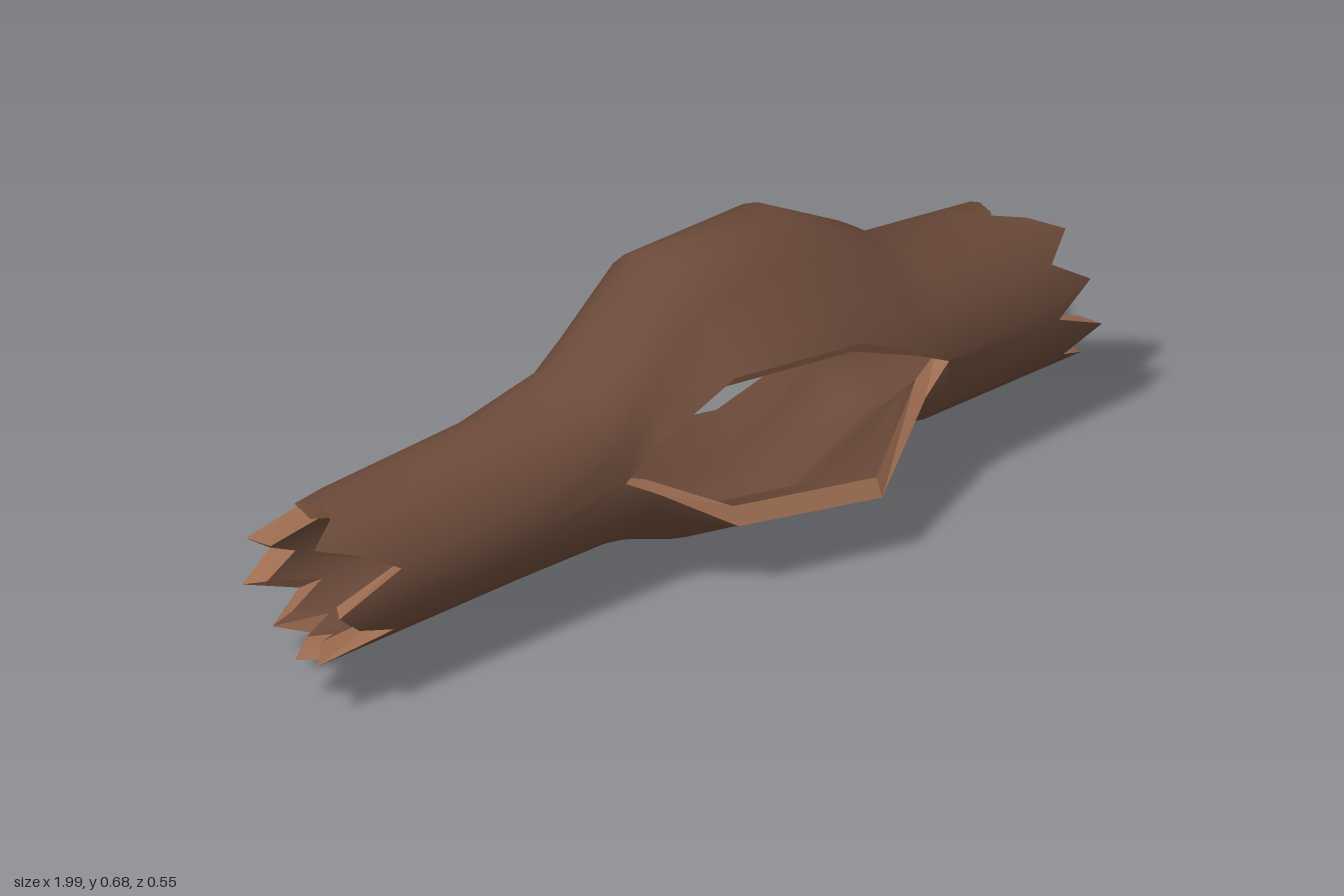
import * as THREE from 'three';
import { toCreasedNormals } from 'three/addons/utils/BufferGeometryUtils.js';

const SIDES = 20, HALF = 10, WALL = 0.042, STEP = Math.PI / HALF;

// Splintered end outlines: x for each corner, from the front, over the top, round the back
const LEFT_END = [-.99, -.82, -.9, -1, -.92, -.9, -.93, -.82, -.82, -.97, -.9, -.98, -.85, -.95, -.88, -.97, -.93, -.99, -.82, -.93];
const RIGHT_END = [.87, .96, .88, .95, .89, .82, .8, .88, .94, .99, .93, .88, .95, .9, .96, .93, .92, .99, .91, .99];

// Cross-sections along the log: centre heights of the upper and lower arcs, radii, centre z.
// Open ones also have lips: [y, z] for front upper, front lower, back upper, back lower.
const STATIONS = [
  { x: LEFT_END, up: .28, low: .28, ry: .163, rz: .155, zc: -.053 },
  { x: -.46, up: .29, low: .29, ry: .17, rz: .155, zc: -.053 },
  { x: -.24, up: .345, low: .278, ry: .158, rz: .155, zc: -.053 },
  { x: -.17, up: .405, low: .265, ry: .155, rz: .155, zc: -.05, lips: [[.385, .125], [.27, .12], [.37, -.225], [.27, -.225]] },
  { x: -.03, up: .525, low: .215, ry: .155, rz: .155, zc: -.05, lips: [[.51, .19], [.18, .2], [.45, -.277], [.175, -.245]] },
  { x: .28, up: .525, low: .16, ry: .155, rz: .155, zc: -.05, lips: [[.485, .215], [.163, .275], [.52, -.277], [.12, -.245]] },
  { x: .49, up: .405, low: .28, ry: .158, rz: .165, zc: -.045, lips: [[.37, .17], [.265, .165], [.345, -.22], [.22, -.207]] },
  { x: .56, up: .347, low: .288, ry: .165, rz: .185, zc: -.03 },
  { x: RIGHT_END, up: .287, low: .287, ry: .181, rz: .175, zc: -.045 },
];

// Outer and inner points of one half shell (0 = upper, 1 = lower)
function halfSection(s, half) {
  const flat = [];
  for (let j = 0; j <= HALF; j++) {
    const a = (half * HALF + j) * STEP;
    const onLip = j === 0 || j === HALF;
    const cy = onLip ? (s.up + s.low) / 2 : half ? s.low : s.up;
    flat.push([cy + s.ry * Math.sin(a), s.zc + s.rz * Math.cos(a)]);
  }
  if (s.lips) {
    const [fu, fl, bu, bl] = s.lips;
    flat[0] = half ? bl : fu;
    flat[HALF] = half ? fl : bu;
    const mid = (p, q) => [(p[0] + q[0]) / 2, (p[1] + q[1]) / 2];
    flat[1] = mid(flat[0], flat[2]);
    if (half) flat[HALF - 1] = mid(flat[HALF], flat[HALF - 2]);
  }
  const outer = [], inner = [];
  flat.forEach(([y, z], j) => {
    const p = flat[Math.max(j - 1, 0)], q = flat[Math.min(j + 1, HALF)];
    let ny = p[1] - q[1], nz = q[0] - p[0];
    if (!s.lips && (j === 0 || j === HALF)) {
      ny = 0;
      nz = z - s.zc;
    }
    const len = Math.hypot(ny, nz);
    const jag = Array.isArray(s.x);
    const x = jag ? s.x[(half * HALF + j) % SIDES] : s.x;
    const innerX = jag ? x - Math.sign(x) * 0.03 : x;
    outer.push([x, y, z]);
    inner.push([innerX, y - ny / len * WALL, z - nz / len * WALL]);
  });
  return { outer, inner };
}

function makeMesh(name, triangles, material, crease) {
  const geometry = new THREE.BufferGeometry();
  geometry.setAttribute('position', new THREE.Float32BufferAttribute(triangles, 3));
  const mesh = new THREE.Mesh(toCreasedNormals(geometry, crease), material);
  mesh.name = name;
  return mesh;
}

export function createModel() {
  const bark = new THREE.MeshStandardMaterial({ color: 0x6b4a3a });
  bark.name = 'bark brown';
  const wood = new THREE.MeshStandardMaterial({ color: 0x9c6c50 });
  wood.name = 'split wood';

  const outside = [], hollow = [], lips = [], ends = [];
  const quad = (list, a, b, c, d) => list.push(...a, ...b, ...c, ...a, ...c, ...d);

  for (const half of [0, 1]) {
    const rings = STATIONS.map((s) => halfSection(s, half));
    for (let i = 0; i < rings.length - 1; i++) {
      const { outer: o, inner: n } = rings[i];
      const { outer: O, inner: N } = rings[i + 1];
      // Bark and hollow walls
      for (let j = 0; j < HALF; j++) {
        quad(outside, o[j], O[j], O[j + 1], o[j + 1]);
        quad(hollow, n[j + 1], N[j + 1], N[j], n[j]);
      }
      // Split edges along the front and back openings
      if (STATIONS[i].lips || STATIONS[i + 1].lips) {
        quad(lips, n[0], N[0], O[0], o[0]);
        quad(lips, o[HALF], O[HALF], N[HALF], n[HALF]);
      }
    }
    // Splintered rims
    const a = rings[0], b = rings[rings.length - 1];
    for (let j = 0; j < HALF; j++) {
      quad(ends, a.outer[j], a.outer[j + 1], a.inner[j + 1], a.inner[j]);
      quad(ends, b.inner[j], b.inner[j + 1], b.outer[j + 1], b.outer[j]);
    }
  }

  const group = new THREE.Group();
  group.name = 'hollowLog';
  group.add(
    makeMesh('barkOutside', outside, bark, 0.8),
    makeMesh('hollowInside', hollow, bark, 0.8),
    makeMesh('openingEdges', lips, wood, 0.3),
    makeMesh('splinteredEnds', ends, wood, 0.3),
  );
  return group;
}
